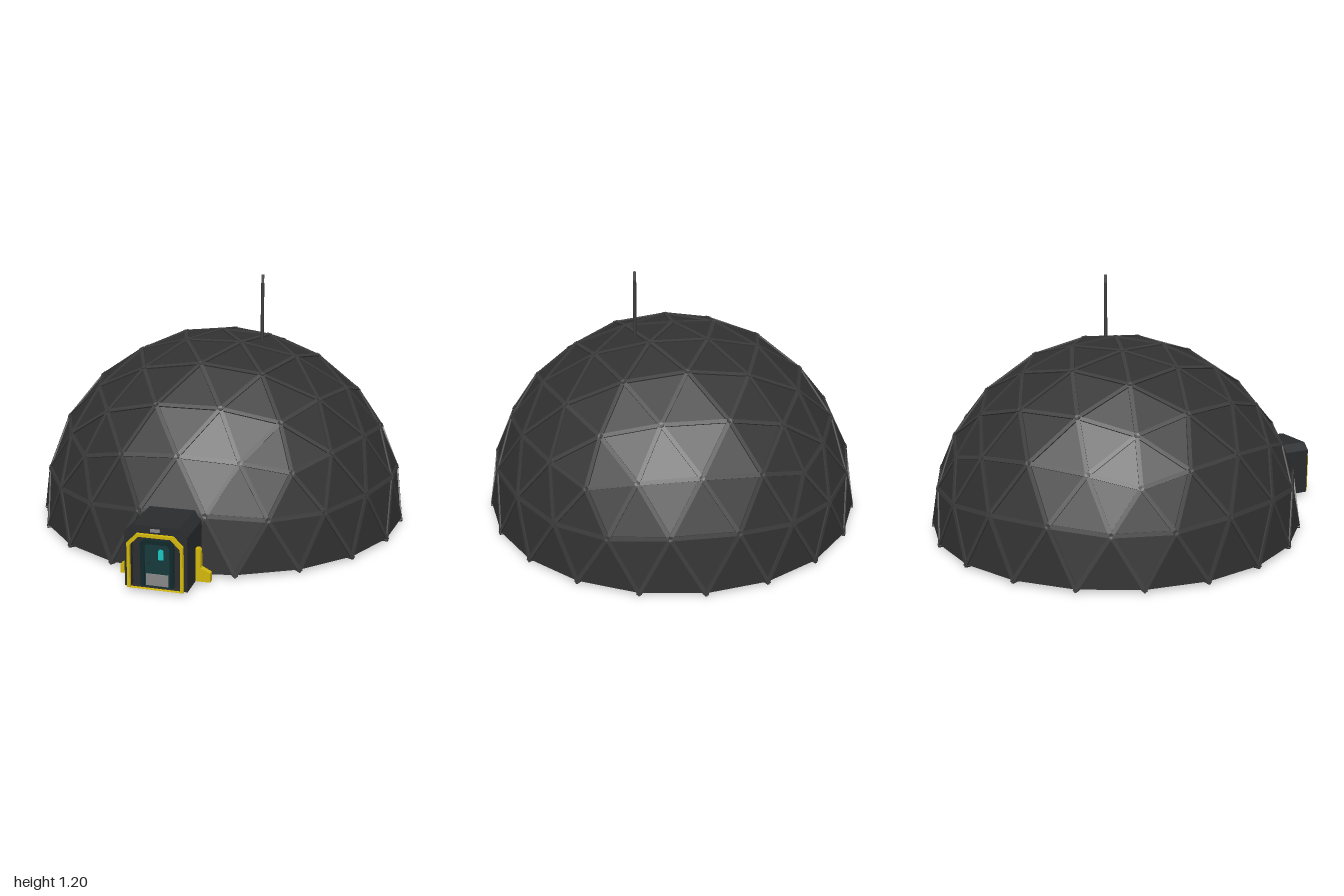
import * as THREE from 'three';
import { mergeGeometries } from 'three/addons/utils/BufferGeometryUtils.js';

const paint = (color) => new THREE.MeshStandardMaterial({ color, side: THREE.DoubleSide, flatShading: true });
const DARK = paint(0x303030), STRUT = paint(0x3a3a3a), BODY = paint(0x2a2c2e), YELLOW = paint(0xd2b80c);
const TEAL = paint(0x15393c), TRIM = paint(0x10282b), CYAN = paint(0x18c4c4), METAL = paint(0x888888);

const R = 0.905, BASE = 0.015, CENTRE_Z = -0.088;

function add(parent, name, geometry, material, x = 0, y = 0, z = 0) {
  const mesh = new THREE.Mesh(geometry, material);
  mesh.name = name;
  mesh.position.set(x, y, z);
  parent.add(mesh);
  return mesh;
}

// Doorway outline: straight sides with chamfered top corners
function archPoints(half, bottom, top, chamfer) {
  return [[-half, bottom], [half, bottom], [half, top - chamfer], [half - chamfer, top],
    [chamfer - half, top], [-half, top - chamfer]].map(([x, y]) => new THREE.Vector2(x, y));
}

function arch(outer, depth, inner) {
  const shape = new THREE.Shape(archPoints(...outer));
  if (inner) shape.holes.push(new THREE.Path(archPoints(...inner)));
  return new THREE.ExtrudeGeometry(shape, { depth, bevelEnabled: false });
}

// Box beam along an edge of the dome, its depth facing the dome's centre
function strut(a, b) {
  const along = b.clone().sub(a);
  const mid = a.clone().add(b).multiplyScalar(0.5);
  const g = new THREE.BoxGeometry(0.018, along.length() + 0.02, 0.032);
  along.normalize();
  const out = mid.clone().normalize();
  const side = new THREE.Vector3().crossVectors(along, out);
  const m = new THREE.Matrix4().makeBasis(side, along, out);
  return g.applyMatrix4(m.setPosition(mid.addScaledVector(out, -0.01)));
}

function buildDome() {
  const dome = new THREE.Group();
  dome.name = 'dome';
  dome.position.set(0, BASE, CENTRE_Z);

  // Four-frequency geodesic sphere with a five-way corner at the apex
  const sphere = new THREE.IcosahedronGeometry(R, 3);
  sphere.rotateZ(Math.atan(2 / (1 + Math.sqrt(5))));
  sphere.rotateY(-Math.PI / 2);
  const pos = sphere.getAttribute('position');

  // Keep the upper half and gather each edge once
  const panels = [], edges = new Map();
  const key = (v) => v.toArray().map((n) => Math.round(n * 1000)).join();
  for (let i = 0; i < pos.count; i += 3) {
    const tri = [0, 1, 2].map((k) => new THREE.Vector3().fromBufferAttribute(pos, i + k));
    if (tri[0].y + tri[1].y + tri[2].y < 0.01) continue;
    panels.push(...tri);
    tri.forEach((a, k) => {
      const b = tri[(k + 1) % 3];
      if (a.y + b.y < 0.01) return; // the rim has no beam
      edges.set([key(a), key(b)].sort().join('|'), [a, b]);
    });
  }
  const shell = new THREE.BufferGeometry().setFromPoints(panels);
  shell.computeVertexNormals();
  add(dome, 'domePanels', shell, DARK);
  add(dome, 'domeStruts', mergeGeometries([...edges.values()].map(([a, b]) => strut(a, b))), STRUT);
  return dome;
}

function buildEntrance() {
  const entrance = new THREE.Group();
  entrance.name = 'entrance';

  // Vestibule running into the dome, with a collar around the recessed door
  const outer = [0.135, BASE, 0.285, 0.035], opening = [0.108, BASE + 0.001, 0.24, 0.04];
  add(entrance, 'vestibule', arch(outer, 0.31), BODY, 0, 0, 0.65);
  add(entrance, 'doorCollar', arch(outer, 0.025, opening), BODY, 0, 0, 0.96);
  add(entrance, 'yellowFrame', arch([0.12, BASE, 0.252, 0.042], 0.015, opening), YELLOW, 0, 0, 0.985);

  // Door
  add(entrance, 'doorFrame', arch([0.072, BASE, 0.218, 0.015], 0.012, [0.054, BASE + 0.001, 0.2, 0.01]), TRIM, 0, 0, 0.96);
  add(entrance, 'door', arch([0.054, BASE, 0.2, 0.01], 0.006), TEAL, 0, 0, 0.96);
  add(entrance, 'doorWindow', arch([0.011, 0.135, 0.18, 0.006], 0.004), CYAN, 0.017, 0, 0.966);
  add(entrance, 'kickPlate', new THREE.BoxGeometry(0.095, 0.05, 0.006), METAL, 0, 0.045, 0.968);
  add(entrance, 'doorHandle', new THREE.BoxGeometry(0.008, 0.008, 0.01), BODY, -0.038, 0.118, 0.97);
  add(entrance, 'doorLamp', new THREE.BoxGeometry(0.04, 0.012, 0.008), METAL, 0, 0.268, 0.988);

  // L-shaped braces on both sides
  const brace = new THREE.Shape([[0.134, BASE], [0.198, BASE], [0.198, 0.055], [0.157, 0.075],
    [0.157, 0.15], [0.15, 0.16], [0.134, 0.16]].map(([x, y]) => new THREE.Vector2(x, y)));
  for (const side of [1, -1]) {
    const g = new THREE.ExtrudeGeometry(brace, { depth: 0.026, bevelEnabled: false });
    if (side < 0) g.rotateY(Math.PI).translate(0, 0, 0.026);
    add(entrance, side > 0 ? 'leftBrace' : 'rightBrace', g, YELLOW, 0, 0, 0.846);
  }
  return entrance;
}

export function createModel() {
  const model = new THREE.Group();
  model.name = 'geodesicShelter';
  model.add(buildDome(), buildEntrance());

  // Antenna
  const antenna = new THREE.Group();
  antenna.name = 'antenna';
  antenna.position.set(0.205, 0, -0.046);
  add(antenna, 'mast', new THREE.CylinderGeometry(0.008, 0.008, 0.29, 10), STRUT, 0, 1.015, 0);
  add(antenna, 'mastTip', new THREE.CylinderGeometry(0.007, 0.007, 0.04, 10), paint(0x555555), 0, 1.18, 0);
  model.add(antenna);
  return model;
}
